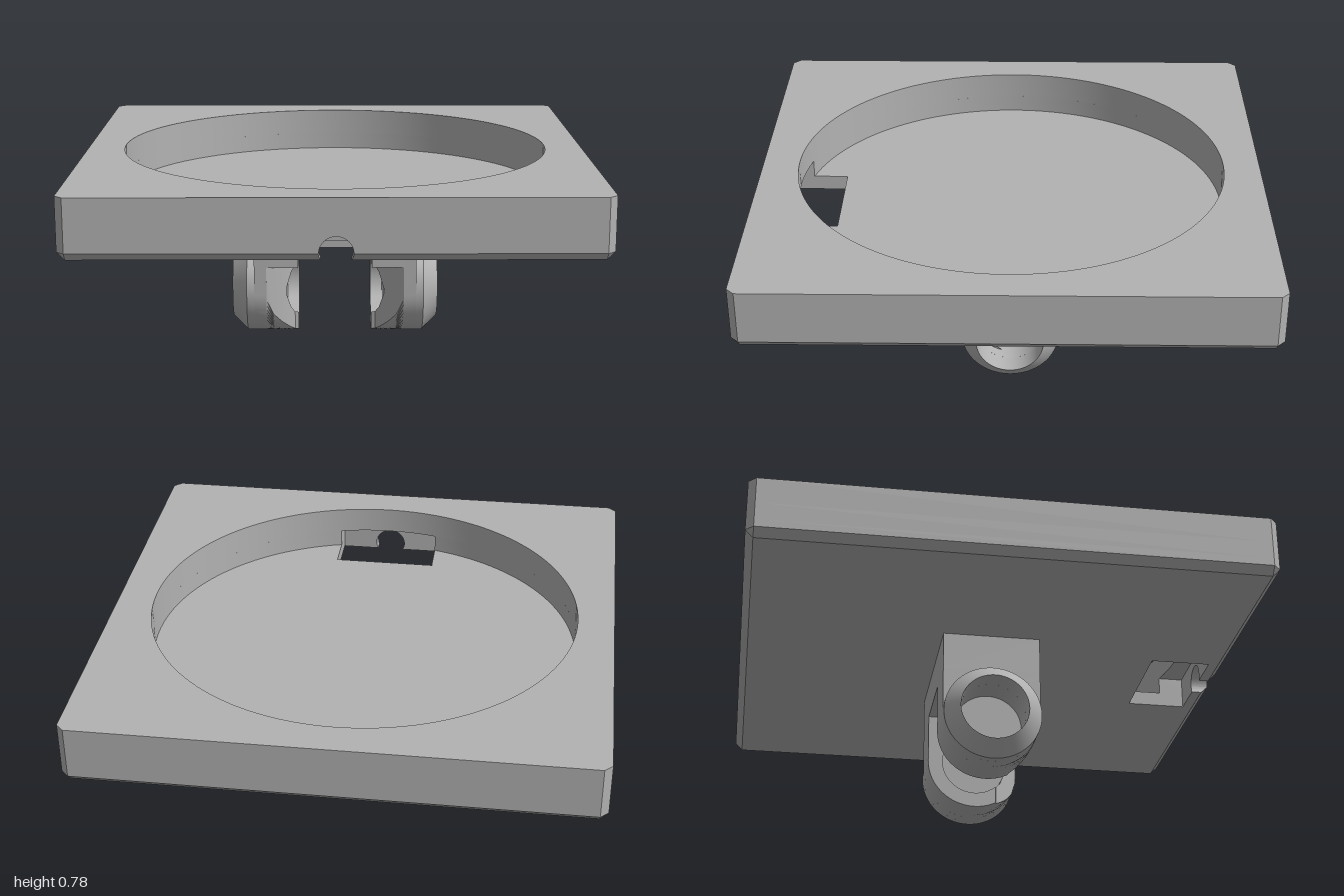
import * as THREE from 'three';
import { mergeGeometries, toCreasedNormals } from 'three/addons/utils/BufferGeometryUtils.js';

const TOP = 0.78, POCKET_TOP = 0.675, FLOOR = 0.605, CHAMFER = 0.575, BASE = 0.545;
const RECESS = 0.855, SLOT = 0.21, WALL = 0.93, WIRE = 0.063;   // recess radius, pocket half width, front wall, channel radius
const R = 0.195, BORE = 0.135, LEG_TOP = 0.395;                 // lug radii, axis height is R

// Points on an arc [cx, cy, radius] from angle a to angle b
function arc(cx, cy, r, a, b, n) {
  return Array.from({ length: n + 1 }, (_, i) => {
    const t = a + (b - a) * i / n;
    return [cx + r * Math.cos(t), cy + r * Math.sin(t)];
  });
}

function extrude(points, depth, hole) {
  const vec = list => list.map(p => new THREE.Vector2(p[0], p[1]));
  const shape = new THREE.Shape(vec(points));
  if (hole) shape.holes.push(new THREE.Path(vec(hole)));
  return new THREE.ExtrudeGeometry(shape, { depth, bevelEnabled: false });
}

// Moves every vertex by a rule
function bend(geo, rule) {
  const pos = geo.attributes.position, v = new THREE.Vector3();
  for (let i = 0; i < pos.count; i++) {
    rule(v.fromBufferAttribute(pos, i));
    pos.setXYZ(i, v.x, v.y, v.z);
  }
  return geo;
}

function finish(geo) {
  const g = geo.index ? geo.toNonIndexed() : geo.clone();
  g.deleteAttribute('uv');
  g.clearGroups();
  return toCreasedNormals(g, 0.45);
}

// Mirror in x, keeping the faces outward
function mirror(geo) {
  const g = (geo.index ? geo.toNonIndexed() : geo.clone());
  g.scale(-1, 1, 1);
  const p = g.attributes.position;
  for (let i = 0; i < p.count; i += 3) {
    const a = [p.getX(i), p.getY(i), p.getZ(i)];
    p.setXYZ(i, p.getX(i + 2), p.getY(i + 2), p.getZ(i + 2));
    p.setXYZ(i + 2, ...a);
  }
  return finish(g);
}

// Horizontal slab from an outline in x and z
const slab = (points, top, bottom, hole) =>
  extrude(points, top - bottom, hole).rotateX(Math.PI / 2).translate(0, top, 0);

// Square with cut corners; the inner points are inserted into its front side
function outline(inner = []) {
  return [[0.97, 1], ...inner, [-0.97, 1], [-1, 0.97], [-1, -0.97],
    [-0.97, -1], [0.97, -1], [1, -0.97], [1, 0.97]];
}

// Lug outline in (-z, y), cut off in front at z = cut; open when the cut reaches the bore
function lugOutline(cut, open) {
  const a = Math.acos(cut / R), b = Math.acos(Math.min(1, cut / BORE));
  const pts = [[-R, LEG_TOP], ...arc(0, R, R, Math.PI, 2 * Math.PI - a, 28)];
  if (open) pts.push(...arc(0, R, BORE, 2 * Math.PI - b, b, 36));
  pts.push([cut, 0.31], [R, 0.31], [R, LEG_TOP]);
  return pts.map(([z, y]) => [-z, y]);
}

// Slice of a lug between x0 and x1 whose front cut slants from c0 to c1
function lugSlice(x0, x1, c0, c1, open) {
  const from = lugOutline(c0, open), to = lugOutline(c1, open);
  const hole = open ? null : arc(0, R, BORE, 0, 2 * Math.PI, 48).slice(0, -1);
  const geo = bend(extrude(from, x1 - x0, hole), v => {
    if (v.z < (x1 - x0) / 2) return;
    const i = from.findIndex(p => Math.hypot(p[0] - v.x, p[1] - v.y) < 1e-5);
    if (i >= 0) { v.x = to[i][0]; v.y = to[i][1]; }
  });
  return finish(geo.rotateY(Math.PI / 2).translate(x0, 0, 0));
}

function lugGeometry() {
  const parts = [];
  // Slanted entry: flat tip, then a part open to the bore, then a closed part
  const cuts = [[0.15, 0.088], [0.165, 0.092], [0.18, 0.112], [0.2, 0.1345],
    [0.22, 0.152], [0.25, 0.174], [0.28, 0.194]];
  for (let i = 0; i + 1 < cuts.length; i++) {
    const [x0, c0] = cuts[i], [x1, c1] = cuts[i + 1];
    parts.push(lugSlice(x0, x1, c0, c1, i < 3));
  }
  // Full section
  const full = [[-R, LEG_TOP], ...arc(0, R, R, Math.PI, 2 * Math.PI, 36), [R, LEG_TOP]];
  const hole = arc(0, R, BORE, 0, 2 * Math.PI, 48).slice(0, -1);
  parts.push(finish(extrude(full, 0.05, hole).rotateY(Math.PI / 2).translate(0.28, 0, 0)));
  // Tapered outer collar
  const profile = [[BORE, 0.33], [R, 0.33], [R, 0.36], [BORE, 0.42], [BORE, 0.33]]
    .map(p => new THREE.Vector2(p[0], p[1]));
  parts.push(finish(new THREE.LatheGeometry(profile, 64).rotateZ(-Math.PI / 2).translate(0, R, 0)));
  return mergeGeometries(parts);
}

export function createModel() {
  const model = new THREE.Group();
  model.name = 'mountingPlate';
  const grey = new THREE.MeshStandardMaterial({ color: 0xb2b2b2 });
  grey.name = 'grey';
  const add = (name, geo, parent = model) => {
    const mesh = new THREE.Mesh(geo, grey);
    mesh.name = name;
    parent.add(mesh);
  };

  // Plate in layers: rim, pocket level, floor, chamfered base
  const plate = new THREE.Group();
  plate.name = 'plate';
  model.add(plate);
  const circle = arc(0, 0, RECESS, 0, 2 * Math.PI, 128).slice(0, -1);
  add('rim', finish(slab(outline(), TOP, POCKET_TOP, circle)), plate);

  const a = Math.acos(SLOT / RECESS);
  const ring = arc(0, 0, RECESS, a, a - 2 * Math.PI + (Math.PI - 2 * a), 120);
  add('pocketLevel', finish(slab(outline([[SLOT, 1], ...ring, [-SLOT, 1]]), POCKET_TOP, FLOOR)), plate);

  const slot = [[SLOT, 1], [SLOT, 0.69], [-SLOT, 0.69], [-SLOT, 1]];
  add('floor', finish(slab(outline(slot), FLOOR, CHAMFER)), plate);
  const base = bend(slab(outline(slot), CHAMFER, BASE), v => {
    if (v.y > BASE + 0.01) return;
    v.x = THREE.MathUtils.clamp(v.x, -0.97, 0.97);
    v.z = THREE.MathUtils.clamp(v.z, -0.97, 0.97);
  });
  add('chamferedBase', finish(base), plate);

  // Front wall of the pocket with a round channel
  const upper = [[SLOT, CHAMFER], [SLOT, POCKET_TOP], [-SLOT, POCKET_TOP], [-SLOT, CHAMFER],
    ...arc(0, CHAMFER, WIRE, Math.PI, 0, 24)];
  add('channelWall', finish(extrude(upper, 1 - WALL).translate(0, 0, WALL)), plate);
  const drop = Math.asin((CHAMFER - BASE) / WIRE);
  const lower = [[SLOT, CHAMFER], ...arc(0, CHAMFER, WIRE, 0, -drop, 6), [SLOT, BASE]];
  const lip = finish(bend(extrude(lower, 1 - WALL).translate(0, 0, WALL), v => {
    if (v.z > 0.99) v.z = 1 - (CHAMFER - v.y);
  }));
  add('leftChannelLip', lip, plate);
  add('rightChannelLip', mirror(lip), plate);

  // Bracket below: bridge and two bored lugs
  const bracket = new THREE.Group();
  bracket.name = 'bracket';
  model.add(bracket);
  add('bridge', new THREE.BoxGeometry(0.66, BASE - LEG_TOP, 2 * R).translate(0, (BASE + LEG_TOP) / 2, 0), bracket);
  const lug = lugGeometry();
  add('leftLug', lug, bracket);
  add('rightLug', mirror(lug), bracket);
  return model;
}
